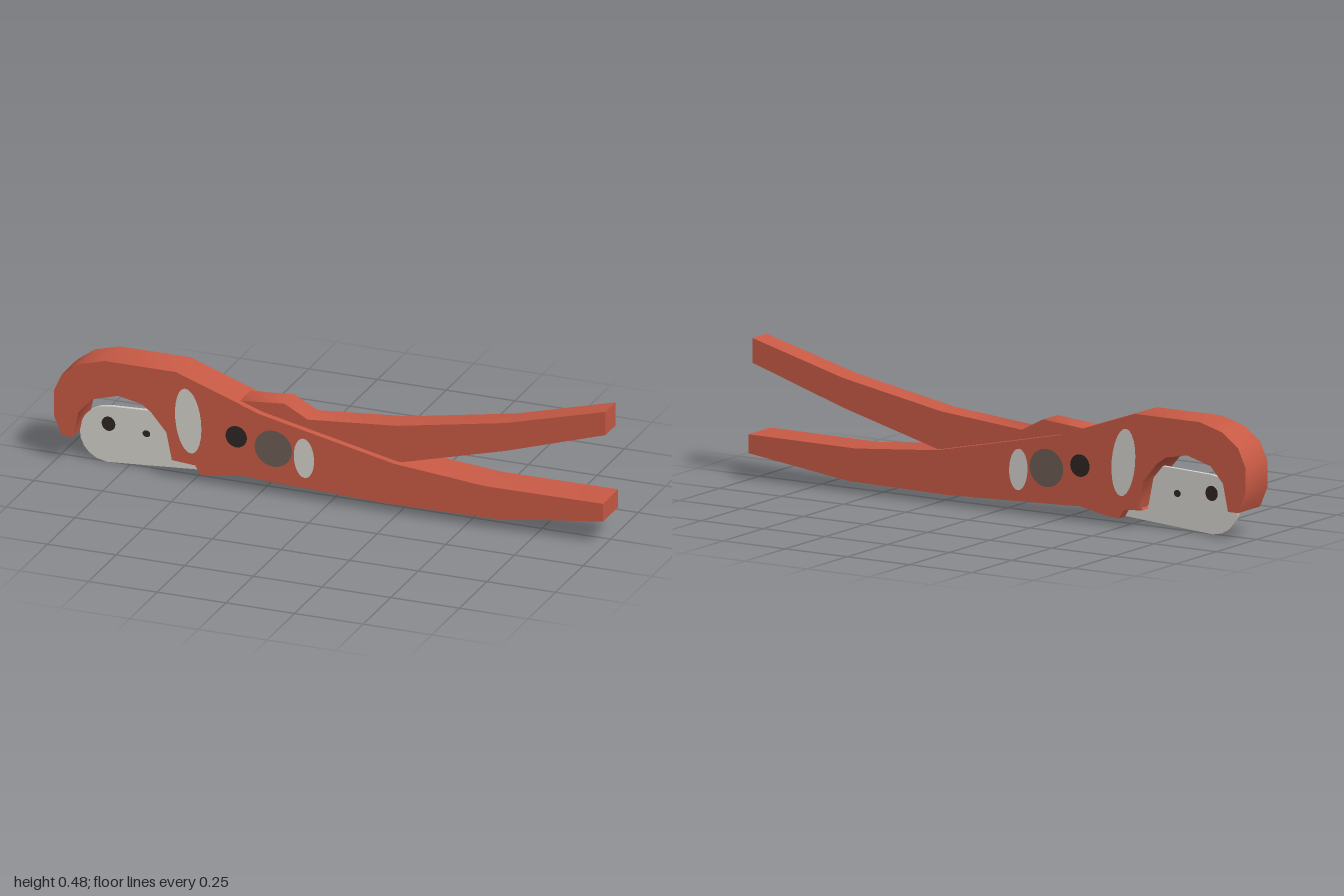
import * as THREE from 'three';
import { toCreasedNormals } from 'three/addons/utils/BufferGeometryUtils.js';

const paint = (name, color) => {
  const m = new THREE.MeshStandardMaterial({ color });
  m.name = name;
  return m;
};

export function createModel() {
  const red = paint('red enamel', 0xc85a45);
  const steel = paint('bright steel', 0xd3d1cb);
  const dark = paint('dark hole', 0x2e2523);
  const brown = paint('brown pivot', 0x6c5b53);

  const group = new THREE.Group();
  group.name = 'pipeCutter';

  // Extrudes a side profile symmetrically about z = 0, smoothing gentle bends
  const plate = (name, shape, depth, material) => {
    const g = new THREE.ExtrudeGeometry(shape, { depth, bevelEnabled: false, curveSegments: 10 });
    g.translate(0, 0, -depth / 2);
    const mesh = new THREE.Mesh(toCreasedNormals(g, 0.75), material);
    mesh.name = name;
    group.add(mesh);
  };
  const outline = (pts) => new THREE.Shape(pts.map(([x, y]) => new THREE.Vector2(x, y)));

  // Hooked jaw running into the lower handle
  plate('jawAndLowerHandle', outline([
    [-0.97, 0.10], [-0.93, 0.10], [-0.91, 0.195], [-0.86, 0.25], [-0.765, 0.277],
    [-0.68, 0.26], [-0.645, 0.235], [-0.59, 0.17], [-0.57, 0.072], [-0.29, 0.052],
    [0.2, 0.035], [0.6, 0.04], [1, 0.092], [1, 0.157], [0.57, 0.155],
    [0.24, 0.185], [-0.25, 0.29], [-0.555, 0.397], [-0.815, 0.397], [-0.905, 0.372],
    [-0.97, 0.325], [-1, 0.26], [-1, 0.17],
  ]), 0.138, red);

  // Upper handle, pivoting through the body and ending below it
  plate('upperHandle', outline([
    [-0.57, 0.062], [-0.495, 0.055], [-0.475, 0.024], [-0.43, 0.027], [-0.29, 0.054],
    [-0.1, 0.09], [0.26, 0.185], [0.635, 0.285], [1, 0.4], [1, 0.485],
    [0.635, 0.387], [0.24, 0.315], [-0.085, 0.287], [-0.17, 0.332], [-0.335, 0.318],
    [-0.5, 0.2],
  ]), 0.09, red);

  // Thin round-nosed blade
  const blade = new THREE.Shape();
  blade.moveTo(-0.45, 0.028);
  blade.lineTo(-0.45, 0.22);
  blade.lineTo(-0.61, 0.215);
  blade.lineTo(-0.82, 0.206);
  blade.bezierCurveTo(-0.965, 0.2, -0.965, 0.01, -0.83, 0.001);
  plate('blade', blade, 0.014, steel);

  // Painted ovals on both faces: [name, x, y, rx, ry, tilt, surface z, material]
  const spots = [
    ['largePin', -0.51, 0.225, 0.047, 0.118, 0.1, 0.069, steel],
    ['bolt', -0.335, 0.195, 0.039, 0.039, 0, 0.069, dark],
    ['pivot', -0.2, 0.172, 0.068, 0.066, 0, 0.069, brown],
    ['smallPin', -0.088, 0.155, 0.037, 0.072, 0.05, 0.0705, steel],
    ['bladeHole', -0.825, 0.142, 0.025, 0.026, 0, 0.007, dark],
    ['smallBladeHole', -0.687, 0.127, 0.014, 0.012, 0, 0.007, dark],
  ];
  for (const [name, x, y, rx, ry, tilt, z, material] of spots) {
    for (const side of [1, -1]) {
      const g = new THREE.CircleGeometry(1, 24);
      if (side < 0) g.rotateY(Math.PI);
      g.scale(rx, ry, 1);
      g.rotateZ(tilt);
      const mesh = new THREE.Mesh(g, material);
      mesh.position.set(x, y, side * (z + 0.0015));
      mesh.name = name + (side > 0 ? 'Front' : 'Back');
      group.add(mesh);
    }
  }
  return group;
}
